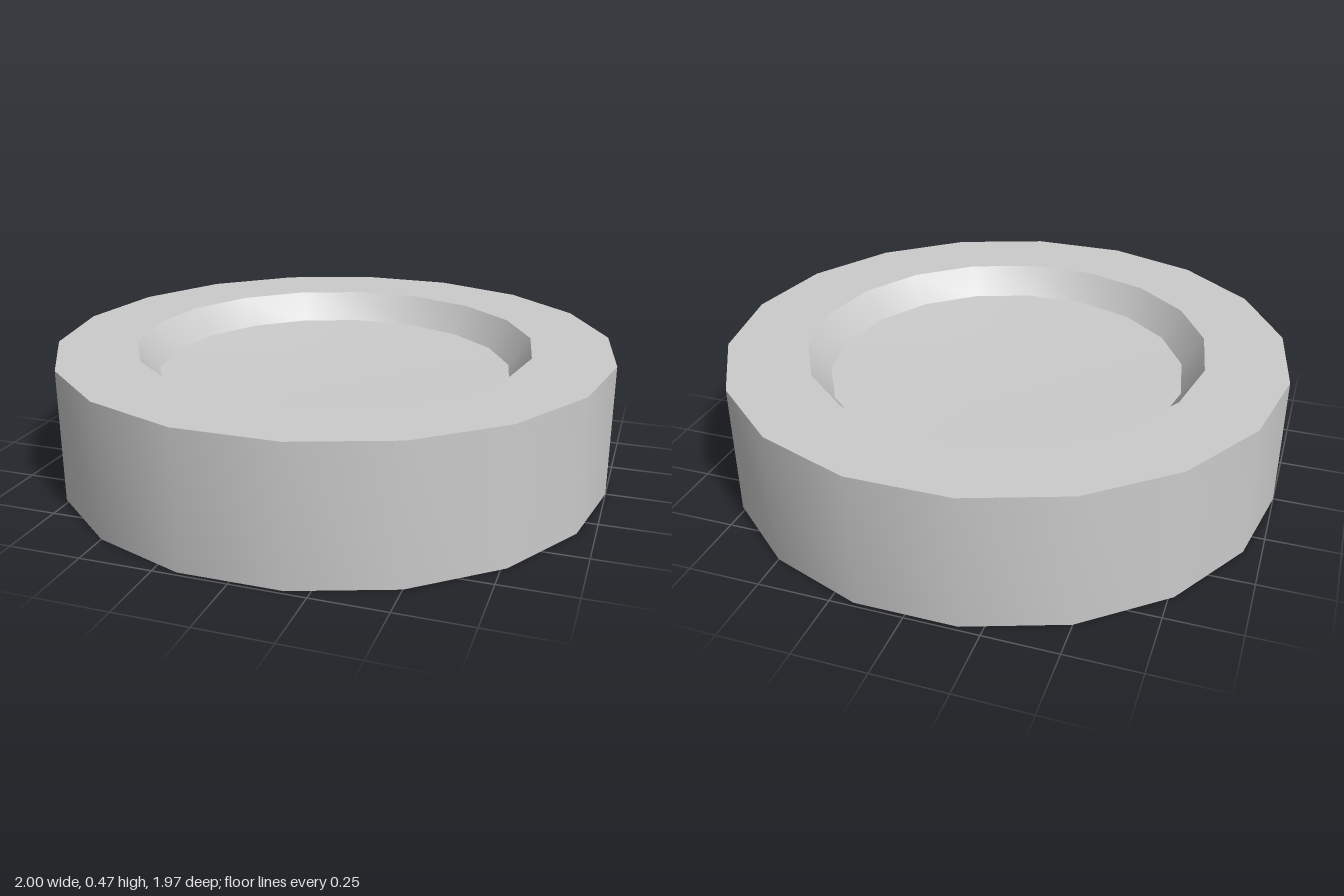
import * as THREE from 'three';
import { toCreasedNormals } from 'three/addons/utils/BufferGeometryUtils.js';

const SIDES = 18;
const HEIGHT = 0.47;

// Half of the turned profile, from the axis out to the outer wall: [radius, depth below the rim]
const FACE = [[0, 0.12], [0.32, 0.115], [0.64, 0.103], [0.714, 0], [1, 0]];

export function createModel() {
  const group = new THREE.Group();
  group.name = 'recessedDisc';

  // Bottom face outwards, then the mirrored top face back in to the axis
  const bottom = FACE.map(([r, d]) => new THREE.Vector2(r, d));
  const top = FACE.map(([r, d]) => new THREE.Vector2(r, HEIGHT - d)).reverse();

  // Start the turn so that corners land on the x axis
  const lathe = new THREE.LatheGeometry([...bottom, ...top], SIDES, Math.PI / 2);
  const geometry = toCreasedNormals(lathe, 0.6);

  const disc = new THREE.Mesh(geometry, new THREE.MeshStandardMaterial({ color: 0xcccccc }));
  disc.name = 'disc';
  group.add(disc);
  return group;
}
